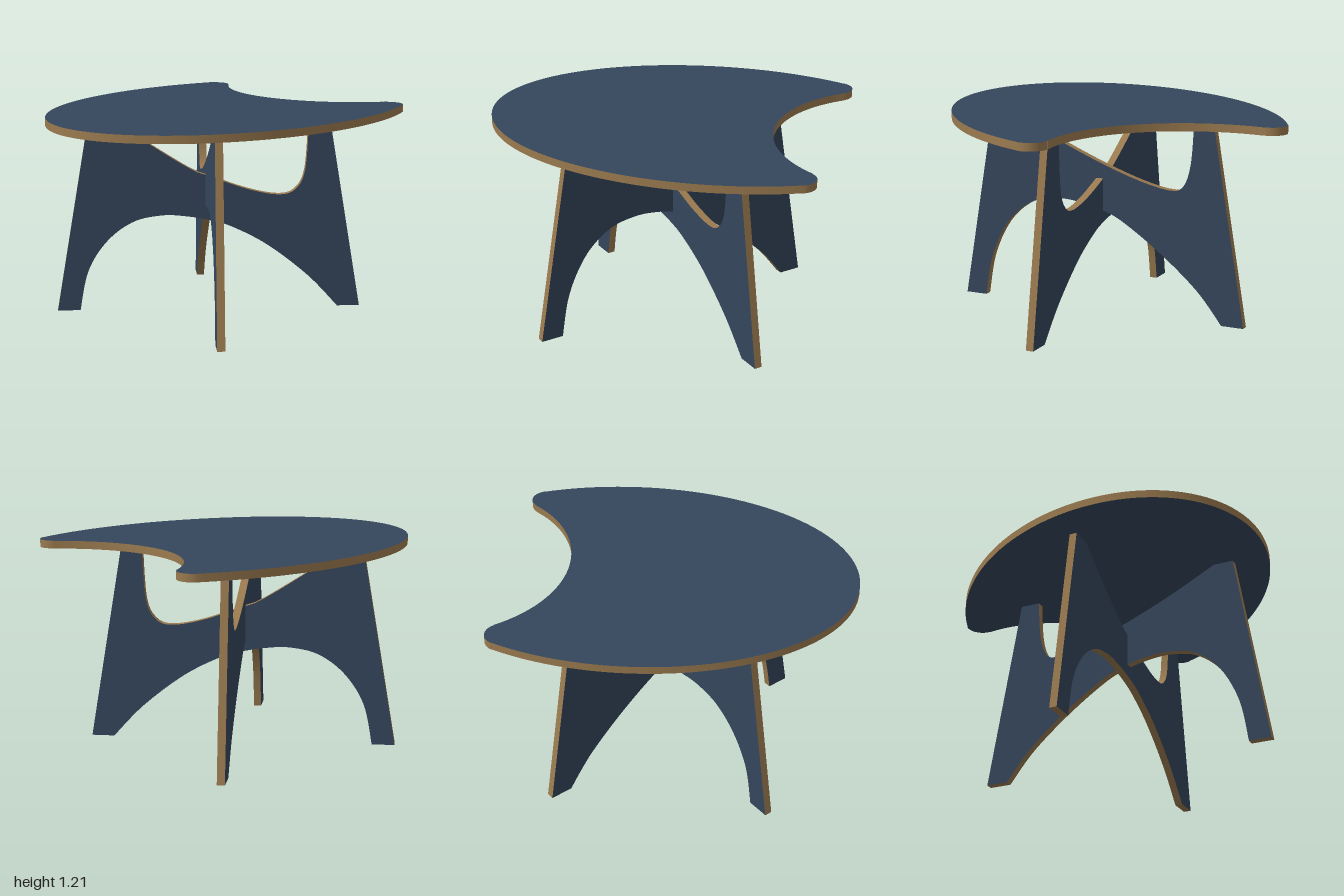
import * as THREE from 'three';
import { toCreasedNormals } from 'three/addons/utils/BufferGeometryUtils.js';

const THICK = 0.045;
const TOP_Y = 1.205;
const UNDER_Y = TOP_Y - THICK;
const CROSS_Z = -0.07;

export function createModel() {
  const model = new THREE.Group();
  model.name = 'coffeeTable';

  const bluePanel = new THREE.MeshStandardMaterial({ color: 0x34465c });
  bluePanel.name = 'bluePanel';
  const plyEdge = new THREE.MeshStandardMaterial({ color: 0x9a7a4f });
  plyEdge.name = 'plyEdge';

  // A cut sheet: blue faces, bare plywood edges
  function sheet(name, shape, curveSegments) {
    const geo = new THREE.ExtrudeGeometry(shape, { depth: THICK, bevelEnabled: false, curveSegments });
    const mesh = new THREE.Mesh(toCreasedNormals(geo, 0.5), [bluePanel, plyEdge]);
    mesh.name = name;
    return mesh;
  }

  // Tabletop: long ellipse with a round bite at the back and two rounded horns
  const horn = { x: 0.683, z: -0.908, r: 0.092 };
  const outer = Math.acos(0.766 / 0.888); // where the ellipse meets the horn
  const hornOut = Math.atan2(-0.375, 0.927);
  const hornIn = Math.atan2(-0.585, -0.811);
  const bite = Math.atan2(0.585, 0.811);
  const top = new THREE.Shape();
  top.absellipse(0, -0.29, 0.888, 1.29, -outer, Math.PI + outer, false);
  top.absarc(-horn.x, horn.z, horn.r, Math.PI - hornOut, Math.PI - hornIn, false);
  top.absarc(0, -1.403, 0.748, Math.PI - bite, bite, true);
  top.absarc(horn.x, horn.z, horn.r, hornIn, hornOut, false);
  const tabletop = sheet('tabletop', top, 64);
  tabletop.rotation.x = Math.PI / 2;
  tabletop.position.y = TOP_Y;
  model.add(tabletop);

  // Leg panel: front leg at +d, back leg at -d (d is measured along x, so scaled by root 2)
  function legPanel(name, saddle, arch, angle) {
    const p = ([d, y]) => new THREE.Vector2(d * Math.SQRT2, y);
    const s = new THREE.Shape();
    const line = (d, y) => s.lineTo(d * Math.SQRT2, y);
    s.moveTo(0.641 * Math.SQRT2, 0);
    line(0.501, UNDER_Y);
    line(0.416, UNDER_Y);
    s.splineThru(saddle.map(p));
    line(-0.501, UNDER_Y);
    line(-0.641, 0);
    line(-0.546, 0);
    s.splineThru(arch.map(p));
    s.closePath();
    const mesh = sheet(name, s, 8);
    mesh.geometry.translate(0, 0, -THICK / 2);
    mesh.rotation.y = angle;
    mesh.position.z = CROSS_Z;
    model.add(mesh);
  }

  // Upper panel, from front left to back right
  legPanel('upperLegPanel',
    [[0.21, 1.015], [0, 0.89], [-0.18, 0.803], [-0.31, 0.765], [-0.37, 0.79], [-0.403, 0.92], [-0.416, UNDER_Y]],
    [[-0.436, 0.19], [-0.27, 0.39], [-0.1, 0.553], [0, 0.612], [0.1, 0.643], [0.2, 0.65],
      [0.32, 0.61], [0.43, 0.48], [0.51, 0.26], [0.546, 0]],
    -Math.PI / 4);

  // Lower panel, from front right to back left
  legPanel('lowerLegPanel',
    [[0.25, 1.0], [0.08, 0.85], [0, 0.805], [-0.16, 0.725], [-0.29, 0.69], [-0.36, 0.72], [-0.402, 0.84], [-0.416, UNDER_Y]],
    [[-0.42, 0.19], [-0.25, 0.38], [-0.1, 0.495], [0, 0.54], [0.1, 0.565], [0.2, 0.572],
      [0.32, 0.535], [0.43, 0.42], [0.51, 0.24], [0.546, 0]],
    -Math.PI * 3 / 4);

  return model;
}
